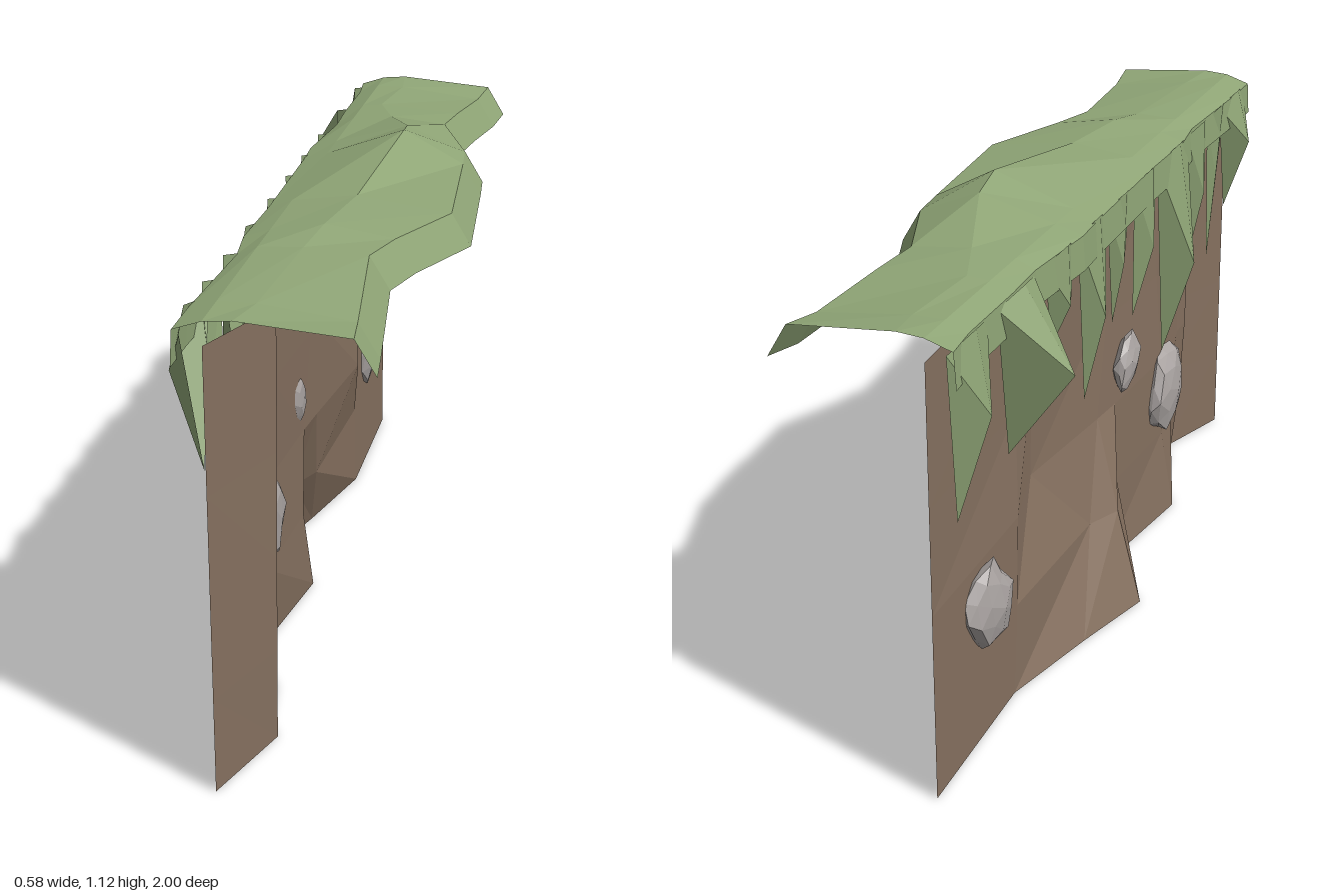
import * as THREE from 'three';

const mat = (color) => new THREE.MeshStandardMaterial({ color, flatShading: true, side: THREE.DoubleSide });
const earth = mat(0x85705f), grass = mat(0x8fa576), stone = mat(0xa8a2a0);

function mesh(name, geometry, material) {
  const m = new THREE.Mesh(geometry, material);
  m.name = name;
  return m;
}

// Faceted surface from triangles of [x, y, z] corners
function faceted(corners) {
  const g = new THREE.BufferGeometry();
  g.setAttribute('position', new THREE.Float32BufferAttribute(corners.flat(), 3));
  g.computeVertexNormals();
  return g;
}

// Open sheet through rows of points
function sheet(rows) {
  const tris = [];
  for (let i = 0; i < rows.length - 1; i++) {
    for (let j = 0; j < rows[i].length - 1; j++) {
      const a = rows[i][j], b = rows[i][j + 1], c = rows[i + 1][j + 1], d = rows[i + 1][j];
      tris.push(a, b, d, b, c, d);
    }
  }
  return faceted(tris);
}

// Cliff face: rows of [z, x] pairs at rising heights
function cliff() {
  const heights = [0, 0.22, 0.44, 0.68, 1];
  const rows = [
    [[1, -.12], [.77, -.04], [.72, -.07], [.56, -.09], [.44, -.17], [.06, -.11], [-.08, -.255], [-.3, -.19], [-.57, -.12], [-1, -.12]],
    [[1, -.12], [.77, -.037], [.7, -.1], [.59, -.11], [.42, -.14], [.12, -.12], [-.04, -.18], [-.13, -.14], [-.55, -.12], [-1, -.12]],
    [[1, -.12], [.77, -.035], [.67, -.12], [.6, -.12], [.4, -.14], [.1, -.12], [0, -.11], [-.34, -.07], [-.54, -.12], [-1, -.12]],
    [[1, -.12], [.76, -.033], [.68, -.12], [.58, -.12], [.38, -.13], [.06, -.11], [0, -.1], [-.36, -.08], [-.5, -.1], [-1, -.12]],
    [[1, -.12], [.76, -.03], [.63, -.11], [.55, -.12], [.35, -.12], [.05, -.12], [-.08, -.11], [-.32, -.09], [-.47, -.1], [-1, -.12]],
  ];
  return sheet(rows.map((row, i) => row.map(([z, x]) => [x, heights[i], z])));
}

// Turf blanket: sections along z, from the overhanging lip over the ridge to the hem
function turf() {
  // z, lip x, lip y, ridge x, ridge y, left edge x
  const sections = [
    [1, .22, .96, -.06, 1.055, -.18],
    [.88, .205, .95, -.04, 1.05, -.18],
    [.54, .165, .97, -.02, 1.055, -.165],
    [.42, .2, .97, 0, 1.07, -.18],
    [.2, .29, .965, .03, 1.07, -.175],
    [-.2, .26, .965, .07, 1.118, -.18],
    [-.31, .25, .965, .06, 1.1, -.185],
    [-.54, .165, .97, -.02, 1.06, -.165],
    [-.68, .18, .965, -.07, 1.055, -.17],
    [-.9, .205, .95, -.05, 1.05, -.17],
    [-1, .22, .96, -.06, 1.055, -.18],
  ];
  return sheet(sections.map(([z, lipX, lipY, rx, ry, lx]) => [
    [lipX, lipY, z],
    [lipX - .045, lipY + .075, z],
    [rx, ry, z],
    [-.12, 1.05, z],
    [lx, 1.03, z],
    [lx - .005, .95, z],
  ]));
}

// Hanging tuft: a folded pointed blade leaning back to the cliff
function tuft(z, half, tipY, bulge, bulgeY, shift = 0) {
  const a = [-.165, 1.02, z - half], b = [-.165, 1.02, z + half];
  const top = [-.185, 1.04, z], mid = [bulge, bulgeY, z], tip = [-.145, tipY, z + shift];
  return faceted([a, top, mid, top, b, mid, a, mid, tip, mid, b, tip]);
}

// Boulder: coarse blob with a repeatable uneven surface
function boulder(x, y, z, sx, sy, sz, lean, seed) {
  const g = new THREE.IcosahedronGeometry(1, 1);
  const p = g.attributes.position, v = new THREE.Vector3();
  for (let i = 0; i < p.count; i++) {
    v.fromBufferAttribute(p, i);
    const k = 0.92 + 0.12 * Math.sin(v.x * 5 + seed) * Math.cos(v.y * 4 - v.z * 3 + seed);
    v.multiplyScalar(k);
    p.setXYZ(i, v.x * sx, v.y * sy, v.z * sz);
  }
  g.computeVertexNormals();
  const m = mesh('boulder', g, stone);
  m.position.set(x, y, z);
  m.rotation.x = lean;
  return m;
}

export function createModel() {
  const model = new THREE.Group();
  model.name = 'grassyCliff';
  model.add(mesh('cliffFace', cliff(), earth), mesh('turf', turf(), grass));

  const tufts = new THREE.Group();
  tufts.name = 'hangingTufts';
  // z, half width, tip height, bulge x, bulge height, tip shift
  [
    [-.9, .1, .62, -.215, .86, -.02],
    [-.65, .1, .65, -.295, .855, 0],
    [-.4, .09, .8, -.19, .9, 0],
    [-.2, .09, .58, -.2, .8, .01],
    [-.02, .08, .7, -.18, .86, .02],
    [.17, .08, .66, -.19, .84, -.02],
    [.38, .12, .47, -.23, .73, .01],
    [.58, .08, .64, -.19, .85, 0],
    [.75, .08, .6, -.17, .84, .02],
    [.89, .11, .7, -.22, .9, .03],
  ].forEach((t) => tufts.add(mesh('tuft', tuft(...t), grass)));
  model.add(tufts);

  const boulders = new THREE.Group();
  boulders.name = 'boulders';
  boulders.add(
    boulder(-.143, .355, .42, .045, .13, .1, .35, 1),
    boulder(-.135, .54, .14, .03, .085, .06, .5, 2.5),
    boulder(-.13, .33, -.74, .045, .115, .1, -.6, 4),
  );
  model.add(boulders);
  return model;
}
